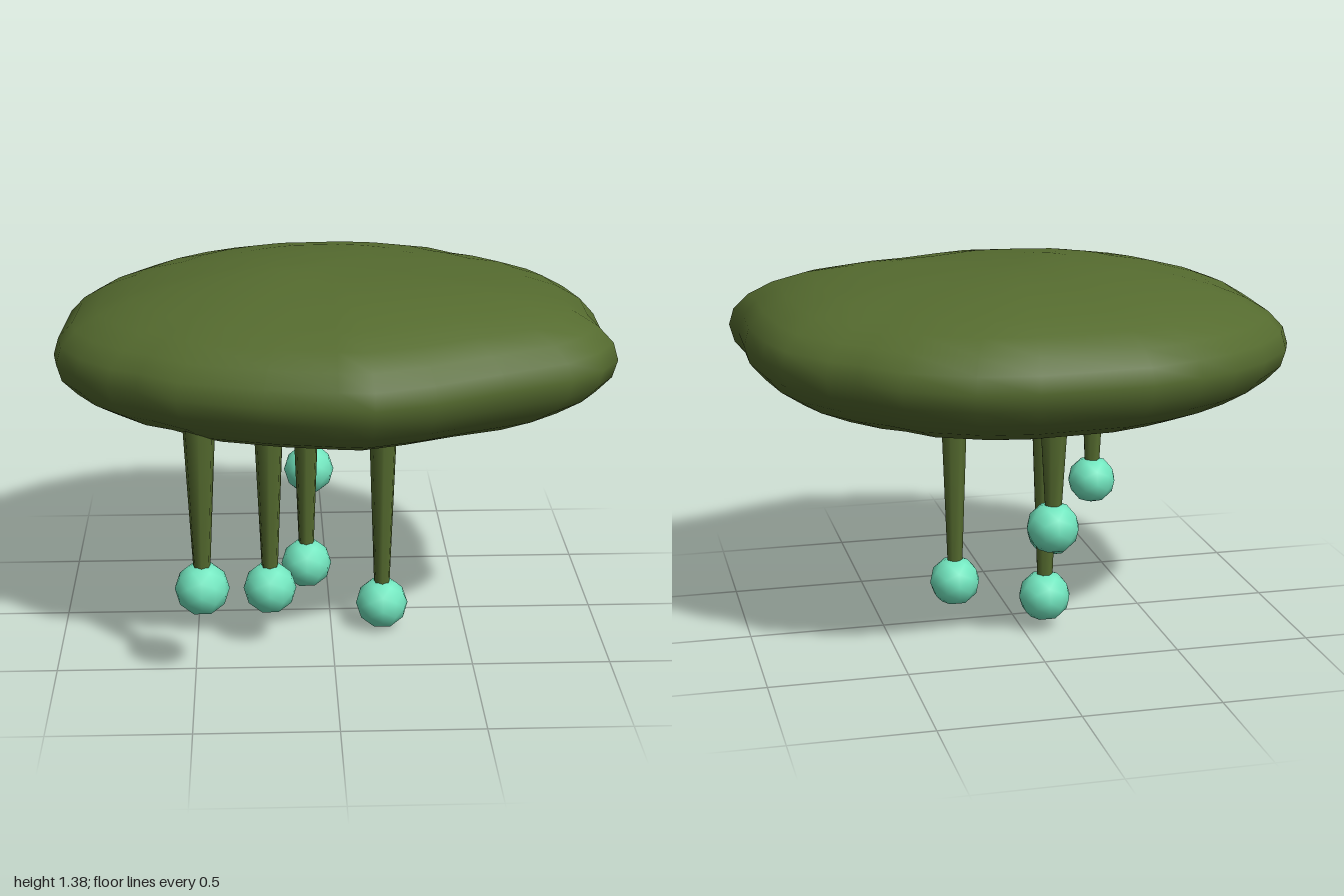
import * as THREE from 'three';
import { mergeVertices } from 'three/addons/utils/BufferGeometryUtils.js';

const MID = 1.09; // height of the canopy rim

// Rim outline, seen from above (x, z)
const RIM = [
  [0.985, 0], [0.98, 0.22], [1, 0.37], [0.93, 0.48], [0.81, 0.58], [0.57, 0.67], [0.33, 0.78],
  [0.12, 0.85], [0, 0.835], [-0.25, 0.79], [-0.54, 0.7], [-0.68, 0.58], [-0.78, 0.52],
  [-0.9, 0.38], [-0.98, 0.23], [-1, 0.1], [-0.98, -0.25], [-0.93, -0.37], [-0.78, -0.56],
  [-0.63, -0.68], [-0.48, -0.76], [-0.29, -0.83], [0.11, -0.855], [0.32, -0.82], [0.55, -0.72],
  [0.67, -0.59], [0.77, -0.52], [0.9, -0.36], [0.95, -0.22],
];

const bump = (x, z, cx, cz, r) => Math.exp(-((x - cx) ** 2 + (z - cz) ** 2) / (r * r));

// Lumpy flattened blob: rings of the rim outline, shrinking towards both poles
function canopyGeometry() {
  const n = RIM.length, steps = 16, pos = [], index = [];
  const point = (x, z, up) => {
    const swell = up > 0
      ? 1 + 0.04 * bump(x, z, -0.2, 0.1, 0.3) - 0.05 * bump(x, z, 0.05, 0.1, 0.2) + 0.12 * bump(x, z, 0.9, 0.1, 0.3)
      : 1 + 0.13 * bump(x, z, 0.52, 0.1, 0.25) - 0.04 * bump(x, z, -0.6, 0, 0.3);
    pos.push(x, MID + up * swell + 0.02 * x * x * x, z);
  };
  point(0, 0, 0.285);
  for (let i = 1; i < steps; i++) {
    const a = (i / steps) * Math.PI;
    const s = Math.sin(a) ** 0.93;
    const c = Math.sign(Math.cos(a)) * Math.abs(Math.cos(a)) ** 0.95;
    const up = Math.abs(c) < 1e-6 ? 0 : c * (c > 0 ? 0.285 : 0.3);
    for (const [x, z] of RIM) point(x * s, z * s, up);
  }
  point(0, 0, -0.3);
  const last = pos.length / 3 - 1;
  for (let j = 0; j < n; j++) {
    const k = (j + 1) % n;
    index.push(0, 1 + k, 1 + j);
    for (let i = 0; i < steps - 2; i++) {
      const a = 1 + i * n, b = a + n;
      index.push(a + j, a + k, b + j, a + k, b + k, b + j);
    }
    index.push(last, last - n + j, last - n + k);
  }
  const g = new THREE.BufferGeometry();
  g.setAttribute('position', new THREE.Float32BufferAttribute(pos, 3));
  g.setIndex(index);
  g.computeVertexNormals();
  return g;
}

// Low-poly ball with smooth normals
function podGeometry(radius) {
  const g = new THREE.IcosahedronGeometry(radius, 1);
  g.deleteAttribute('normal');
  g.deleteAttribute('uv');
  const merged = mergeVertices(g, 1e-4);
  merged.computeVertexNormals();
  return merged;
}

export function createModel() {
  const leaf = new THREE.MeshStandardMaterial({ color: 0x556b2f });
  leaf.name = 'olive green';
  const glow = new THREE.MeshStandardMaterial({ color: 0x7fffd4 });
  glow.name = 'aquamarine';

  const model = new THREE.Group();
  model.name = 'hangingCanopy';
  const add = (parent, name, geometry, material, x = 0, y = 0, z = 0) => {
    const mesh = new THREE.Mesh(geometry, material);
    mesh.name = name;
    mesh.position.set(x, y, z);
    parent.add(mesh);
  };

  add(model, 'canopy', canopyGeometry(), leaf);

  // Tapered vines hanging under the canopy, each ending in a pod: x, pod height, z
  const pod = podGeometry(0.097);
  const vines = [
    [-0.47, 0.345, 0.56], [-0.23, 0.225, 0.29], [-0.085, 0.13, -0.16],
    [0.19, 0.1, 0.16], [-0.07, 0.455, -0.335],
  ];
  for (const [x, y, z] of vines) {
    const strand = new THREE.Group();
    strand.name = 'strand';
    const top = 0.95, length = top - y;
    add(strand, 'vine', new THREE.CylinderGeometry(0.058, 0.027, length, 7), leaf, x, y + length / 2, z);
    add(strand, 'pod', pod, glow, x, y, z);
    model.add(strand);
  }
  return model;
}
